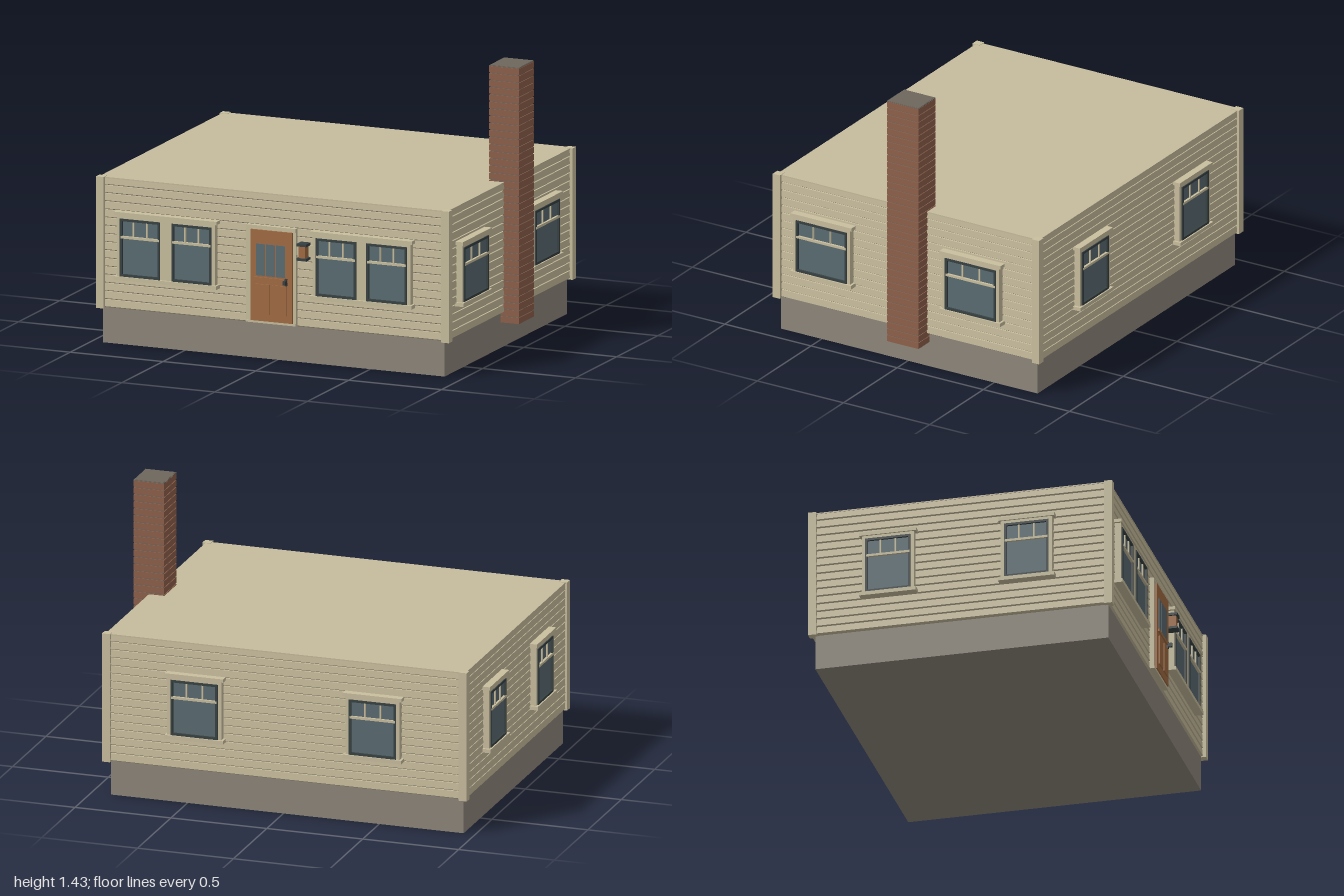
import * as THREE from 'three';

const paint = (name, color) => {
  const m = new THREE.MeshStandardMaterial({ color });
  m.name = name;
  return m;
};

export function createModel() {
  const house = new THREE.Group();
  house.name = 'house';
  const siding = paint('siding beige', 0xc6bb9c);
  const trim = paint('trim beige', 0xc9bf9f);
  const stone = paint('foundation grey', 0x8e867a);
  const brick = paint('brick red', 0x8f604a);
  const mortar = paint('mortar grey', 0x6d675d);
  const glass = paint('glass blue', 0x5a6c72);
  const dark = paint('dark metal', 0x374142);
  const wood = paint('door wood', 0xa26c43);

  const box = (parent, name, mat, x0, x1, y0, y1, z0, z1) => {
    const mesh = new THREE.Mesh(new THREE.BoxGeometry(x1 - x0, y1 - y0, z1 - z0), mat);
    mesh.position.set((x0 + x1) / 2, (y0 + y1) / 2, (z0 + z1) / 2);
    mesh.name = name;
    parent.add(mesh);
    return mesh;
  };
  const group = (parent, name) => {
    const g = new THREE.Group();
    g.name = name;
    parent.add(g);
    return g;
  };

  // Main masses
  const X0 = -0.957, X1 = 0.92, Z0 = -0.773, Z1 = 0.747, Y0 = 0.18, Y1 = 0.84;
  box(house, 'foundation', stone, -0.94, 0.9, 0, Y0 + 0.01, -0.752, 0.737);
  box(house, 'wallCore', siding, X0 + 0.01, X1 - 0.01, Y0, Y1 - 0.004, Z0 + 0.01, Z1 - 0.01);
  box(house, 'flatRoof', siding, X0, X1, Y1 - 0.006, Y1, Z0, Z1);

  // Corner boards
  for (const x of [X0 - 0.01, X1 + 0.015 - 0.042]) {
    for (const z of [Z0 - 0.01, Z1 + 0.016 - 0.042]) {
      box(house, 'cornerBoard', trim, x, x + 0.042, Y0 - 0.003, Y1 + 0.002, z, z + 0.042);
    }
  }

  // Lapped siding: stepped profile swept along a wall; local +z points outwards
  const BOARDS = 16, STEP = (Y1 - Y0) / BOARDS;
  const addWall = (name, from, to, x, z, turn) => {
    const wall = group(house, name);
    wall.position.set(x, 0, z);
    wall.rotation.y = turn;
    const s = new THREE.Shape();
    s.moveTo(-0.014, Y0);
    for (let i = 0; i < BOARDS; i++) {
      const y = Y0 + i * STEP;
      s.lineTo(-0.01, y);
      s.lineTo(0, y + 0.006);
      s.lineTo(-0.003, y + STEP - 0.001);
    }
    s.lineTo(-0.014, Y1 - 0.001);
    const geo = new THREE.ExtrudeGeometry(s, { depth: to - from, bevelEnabled: false });
    geo.rotateY(-Math.PI / 2).translate(to, 0, 0);
    const mesh = new THREE.Mesh(geo, siding);
    mesh.name = 'clapboards';
    wall.add(mesh);
    return wall;
  };
  const front = addWall('frontWall', X0, X1, 0, Z1, 0);
  const right = addWall('eastWall', -Z1, -Z0, X1, 0, Math.PI / 2);
  const back = addWall('backWall', -X1, -X0, 0, Z0, Math.PI);
  const left = addWall('westWall', Z0, Z1, X0, 0, -Math.PI / 2);

  // One sash: glass, dark frame, meeting rail and two upper glazing bars
  const addSash = (g, a, b, y0, y1) => {
    const f = 0.012, rail = y0 + (y1 - y0) * 0.68;
    box(g, 'pane', glass, a, b, y0, y1, -0.01, 0.024);
    box(g, 'sashSide', dark, a, a + f, y0, y1, -0.01, 0.035);
    box(g, 'sashSide', dark, b - f, b, y0, y1, -0.01, 0.035);
    box(g, 'sashTop', dark, a + f, b - f, y1 - f, y1, -0.01, 0.035);
    box(g, 'sashBottom', dark, a + f, b - f, y0, y0 + f, -0.01, 0.035);
    box(g, 'meetingRail', trim, a + 0.004, b - 0.004, rail - 0.006, rail + 0.006, 0.02, 0.036);
    for (const t of [1 / 3, 2 / 3]) {
      const x = a + (b - a) * t;
      box(g, 'glazingBar', trim, x - 0.004, x + 0.004, rail, y1 - f, 0.02, 0.031);
    }
  };

  // Window with casing, head cap and sill; panes is a list of sash spans
  const addWindow = (wall, panes, y0, y1) => {
    const g = group(wall, 'window');
    const a = panes[0][0], b = panes[panes.length - 1][1], t = 0.018;
    panes.forEach(([p, q], i) => {
      addSash(g, p, q, y0, y1);
      if (i > 0) box(g, 'mullion', trim, panes[i - 1][1], p, y0, y1, -0.01, 0.028);
    });
    box(g, 'sideCasing', trim, a - t, a, y0, y1, -0.01, 0.03);
    box(g, 'sideCasing', trim, b, b + t, y0, y1, -0.01, 0.03);
    box(g, 'headCasing', trim, a - t, b + t, y1, y1 + 0.018, -0.01, 0.03);
    box(g, 'headCap', trim, a - 0.03, b + 0.03, y1 + 0.016, y1 + 0.033, -0.01, 0.038);
    box(g, 'sill', trim, a - 0.03, b + 0.03, y0 - 0.019, y0, -0.01, 0.042);
  };
  addWindow(front, [[-0.83, -0.615], [-0.552, -0.337]], 0.353, 0.645);
  addWindow(front, [[0.225, 0.442], [0.498, 0.715]], 0.353, 0.645);
  addWindow(right, [[-0.617, -0.322]], 0.357, 0.632);
  addWindow(right, [[0.248, 0.543]], 0.357, 0.632);
  addWindow(back, [[-0.57, -0.324]], 0.362, 0.648);
  addWindow(back, [[0.36, 0.606]], 0.362, 0.648);
  addWindow(left, [[-0.486, -0.257]], 0.366, 0.656);
  addWindow(left, [[0.22, 0.446]], 0.366, 0.656);

  // Front door with casing, three lights, lower panels and handle
  const door = group(front, 'frontDoor');
  box(door, 'doorSlab', wood, -0.128, 0.096, 0.198, 0.658, -0.01, 0.03);
  box(door, 'doorCasing', trim, -0.155, -0.128, 0.188, 0.658, -0.01, 0.02);
  box(door, 'doorCasing', trim, 0.096, 0.112, 0.188, 0.658, -0.01, 0.02);
  box(door, 'doorHead', trim, -0.155, 0.112, 0.658, 0.678, -0.01, 0.022);
  box(door, 'threshold', trim, -0.155, 0.112, 0.186, 0.198, -0.01, 0.024);
  for (let i = 0; i < 3; i++) {
    const x = -0.098 + i * 0.054;
    box(door, 'doorLight', glass, x, x + 0.049, 0.428, 0.588, 0.028, 0.033);
  }
  box(door, 'doorShelf', wood, -0.11, 0.075, 0.405, 0.42, 0.028, 0.037);
  for (const x of [-0.098, -0.01]) {
    box(door, 'doorPanel', wood, x, x + 0.076, 0.235, 0.385, 0.028, 0.036);
  }
  box(door, 'handlePlate', dark, 0.058, 0.071, 0.388, 0.424, 0.028, 0.038);
  box(door, 'handleKnob', dark, 0.058, 0.071, 0.396, 0.416, 0.036, 0.058);

  // Wall lantern beside the door
  const lamp = group(front, 'lantern');
  box(lamp, 'mountingBlock', trim, 0.112, 0.208, 0.545, 0.6, -0.01, 0.012);
  box(lamp, 'lanternArm', dark, 0.152, 0.169, 0.56, 0.585, 0.01, 0.02);
  box(lamp, 'lanternBody', wood, 0.143, 0.178, 0.54, 0.604, 0.016, 0.056);
  box(lamp, 'lanternCap', dark, 0.134, 0.187, 0.602, 0.615, 0.009, 0.064);
  box(lamp, 'lanternBase', dark, 0.134, 0.187, 0.53, 0.542, 0.009, 0.064);

  // Chimney: mortar core with a brick course every step
  const chimney = group(house, 'chimney');
  const COURSES = 36, base = 0.13, top = 1.425, course = (top - base) / COURSES;
  box(chimney, 'mortarCore', mortar, 0.844, 0.996, base, top + 0.001, -0.12, 0.055);
  for (let i = 0; i < COURSES; i++) {
    const y = base + i * course;
    box(chimney, 'brickCourse', brick, 0.84, 1.0, y, y + course - 0.005, -0.124, 0.059);
  }
  box(chimney, 'chimneyTop', mortar, 0.84, 1.0, top - 0.004, top, -0.124, 0.059);
  return house;
}
